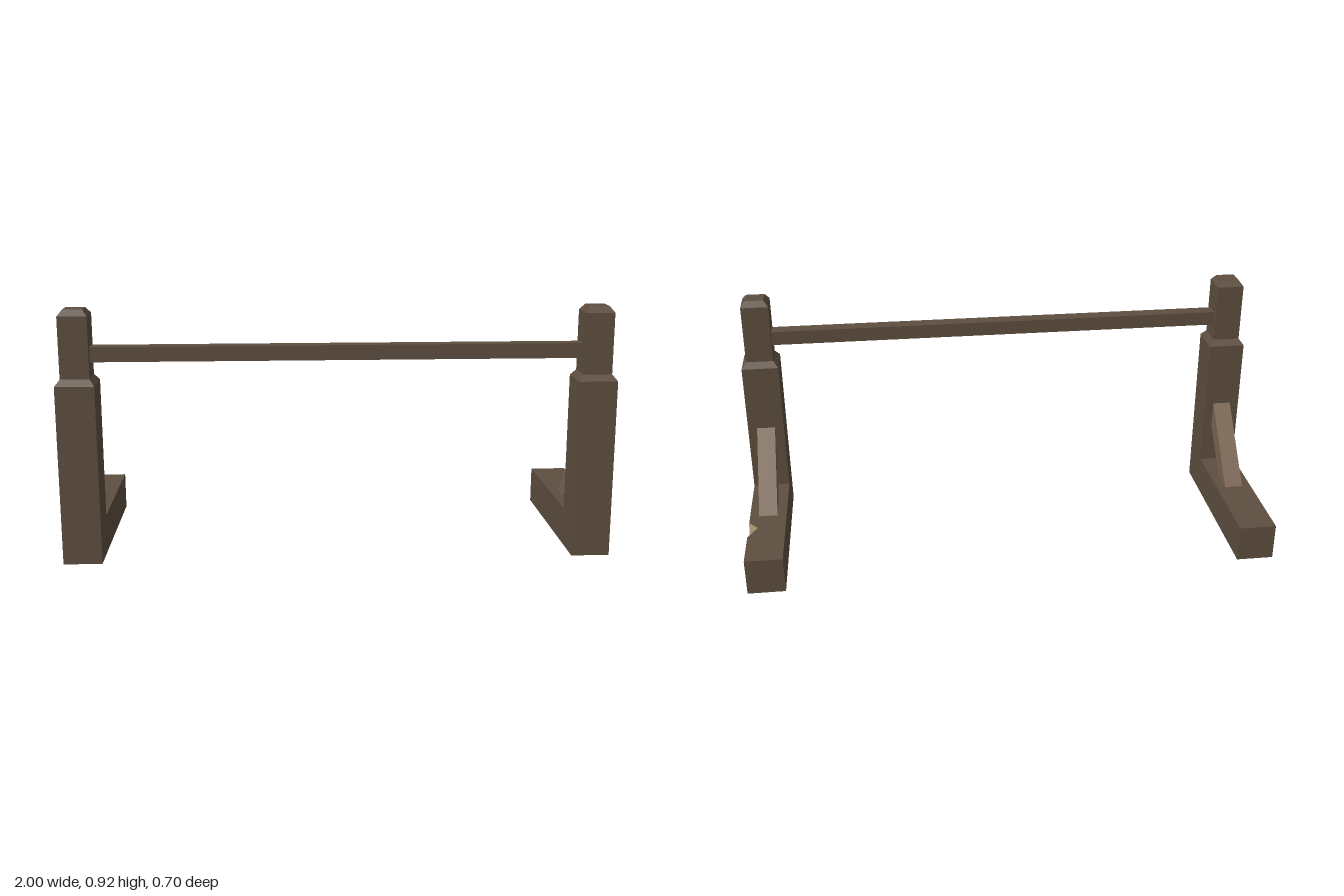
import * as THREE from 'three';

const mat = (color) => new THREE.MeshStandardMaterial({ color, flatShading: true });

// Flat-faced geometry from polygons, each fanned from its first corner
function fromPolygons(polygons) {
  const pos = [];
  for (const p of polygons)
    for (let i = 1; i < p.length - 1; i++) pos.push(...p[0], ...p[i], ...p[i + 1]);
  const g = new THREE.BufferGeometry();
  g.setAttribute('position', new THREE.Float32BufferAttribute(pos, 3));
  g.computeVertexNormals();
  return g;
}

export function createModel() {
  const group = new THREE.Group();
  const darkWood = mat(0x5e4e40), braceWood = mat(0x7a6552), rawWood = mat(0x9a8462);

  const add = (name, geometry, material, x = 0, y = 0, z = 0, parent = group) => {
    const mesh = new THREE.Mesh(geometry, material);
    mesh.name = name;
    mesh.position.set(x, y, z);
    parent.add(mesh);
    return mesh;
  };

  // Square post with a chamfered shoulder and cap: [half width, height]
  const profile = [[0.07, 0.14], [0.07, 0.655], [0.052, 0.678], [0.052, 0.9], [0.035, 0.922], [0, 0.922]]
    .map(([w, y]) => new THREE.Vector2(w * Math.SQRT2, y));
  const postGeo = new THREE.LatheGeometry(profile, 4, Math.PI / 4);

  // Diagonal brace profile, drawn as (-z, y) and extruded across x
  const braceShape = new THREE.Shape(
    [[-0.215, 0.405], [-0.215, 0.305], [-0.06, 0.14], [0.035, 0.14]].map(([a, b]) => new THREE.Vector2(a, b)));
  const braceGeo = new THREE.ExtrudeGeometry(braceShape, { depth: 0.07, bevelEnabled: false });
  braceGeo.translate(0, 0, -0.035).rotateY(Math.PI / 2);

  for (const [side, s] of [['left', 1], ['right', -1]]) {
    const stand = new THREE.Group();
    stand.name = side + 'Stand';
    stand.position.x = 0.93 * s;
    group.add(stand);
    add(side + 'Post', postGeo, darkWood, 0, 0, 0.28, stand);
    add(side + 'Brace', braceGeo, braceWood, 0, 0, 0, stand);
  }

  // Right foot: plain beam
  add('rightFoot', new THREE.BoxGeometry(0.14, 0.14, 0.7), darkWood, -0.93, 0.07, 0);

  // Left foot: beam with a chip out of its outer top edge
  const i = 0.86, o = 1, h = 0.14, f = 0.35, b = -0.35;
  const chipTop = [0.965, h, -0.12], chipSide = [o, 0.105, -0.12];
  const chipFront = [o, h, -0.08], chipBack = [o, h, -0.185];
  add('leftFoot', fromPolygons([
    [chipTop, chipBack, [o, h, b], [i, h, b], [i, h, f], [o, h, f], chipFront],
    [chipSide, chipFront, [o, h, f], [o, 0, f], [o, 0, b], [o, h, b], chipBack],
    [[i, 0, b], [o, 0, b], [o, 0, f], [i, 0, f]],
    [[i, 0, f], [o, 0, f], [o, h, f], [i, h, f]],
    [[o, 0, b], [i, 0, b], [i, h, b], [o, h, b]],
    [[i, 0, b], [i, 0, f], [i, h, f], [i, h, b]],
  ]), darkWood);
  add('footChip', fromPolygons([
    [chipFront, chipSide, chipTop],
    [chipBack, chipTop, chipSide],
  ]), rawWood);

  // Crossbar between the posts
  add('crossbar', new THREE.BoxGeometry(1.76, 0.054, 0.054), darkWood, 0, 0.761, 0.28);

  return group;
}
